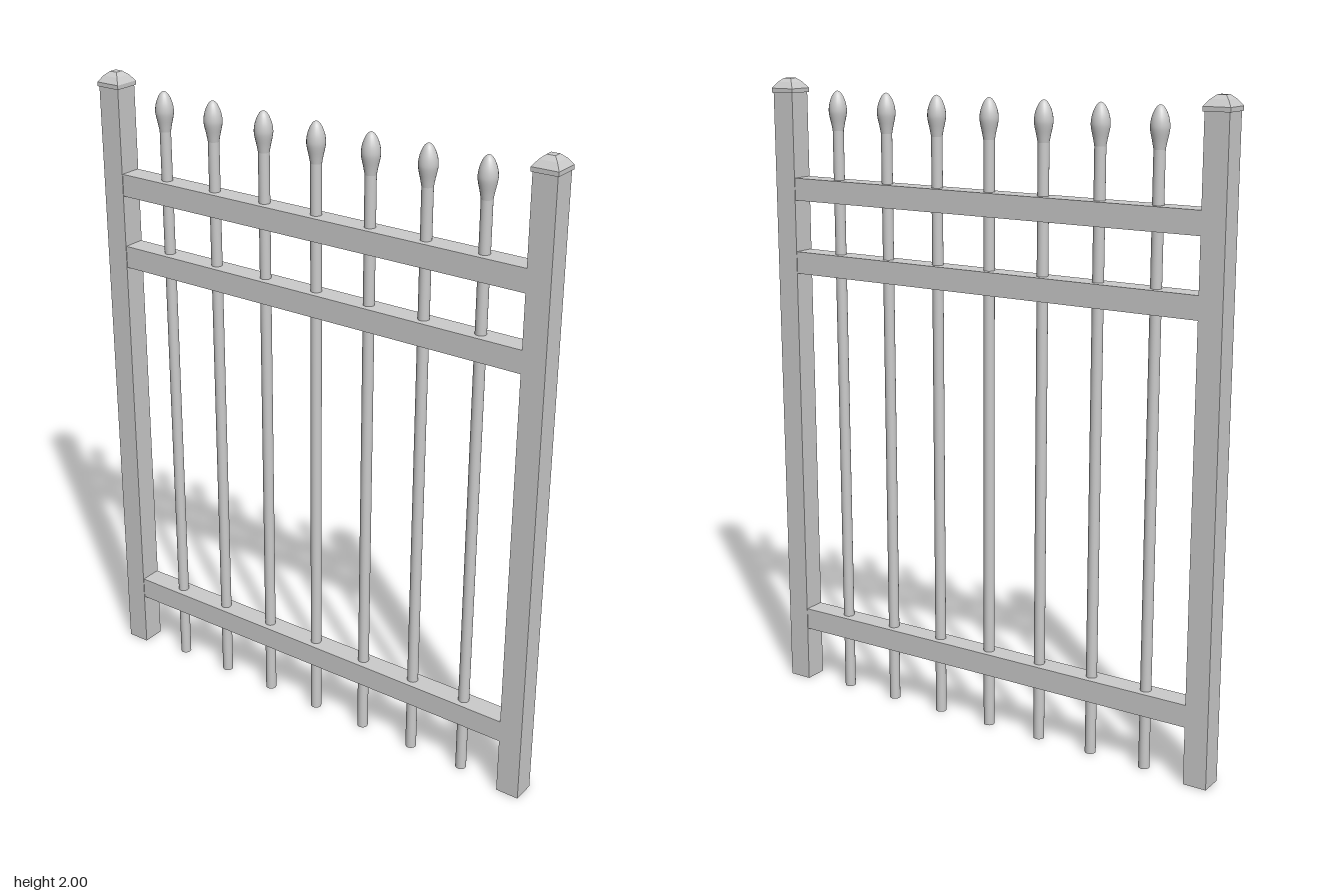
import * as THREE from 'three';

export function createModel() {
  const group = new THREE.Group();
  const flat = new THREE.MeshStandardMaterial({ color: 0xcccccc, flatShading: true });
  const smooth = new THREE.MeshStandardMaterial({ color: 0xcccccc });
  const profile = (pts) => pts.map(([x, y]) => new THREE.Vector2(x, y));

  const add = (name, geometry, material, y, z) => {
    const mesh = new THREE.Mesh(geometry, material);
    mesh.name = name;
    mesh.position.set(0, y, z);
    group.add(mesh);
  };

  // Square posts with stepped pyramid caps
  const postZ = 0.745, postW = 0.074, postH = 1.956;
  const post = new THREE.BoxGeometry(postW, postH, postW);
  const capSteps = [[0, 0], [0.041, 0], [0.041, 0.013], [0.027, 0.032], [0.013, 0.044], [0, 0.044]];
  const cap = new THREE.LatheGeometry(
    profile(capSteps.map(([w, y]) => [w * Math.SQRT2, y])), 4, Math.PI / 4);
  for (const side of [1, -1]) {
    const label = side > 0 ? 'front' : 'back';
    add(label + 'Post', post, flat, postH / 2, side * postZ);
    add(label + 'PostCap', cap, flat, postH, side * postZ);
  }

  // Horizontal rails between the posts
  const rail = new THREE.BoxGeometry(0.07, 0.07, 2 * postZ - postW);
  [['bottomRail', 0.215], ['middleRail', 1.425], ['topRail', 1.658]]
    .forEach(([name, y]) => add(name, rail, flat, y, 0));

  // Round pickets with pointed bud finials
  const picketH = 1.845;
  const picket = new THREE.CylinderGeometry(0.017, 0.017, picketH, 20);
  const finialCurve = new THREE.SplineCurve(profile([
    [0.017, 0], [0.021, 0.022], [0.0265, 0.047], [0.028, 0.064],
    [0.025, 0.085], [0.017, 0.106], [0.008, 0.118], [0, 0.122],
  ]));
  const finialPoints = finialCurve.getPoints(20);
  finialPoints.forEach((p) => { p.x = Math.max(0, p.x); });
  const finial = new THREE.LatheGeometry(finialPoints, 20);
  for (let i = -3; i <= 3; i++) {
    add('picket' + (i + 4), picket, smooth, picketH / 2, i * 0.186);
    add('finial' + (i + 4), finial, smooth, picketH, i * 0.186);
  }

  return group;
}
